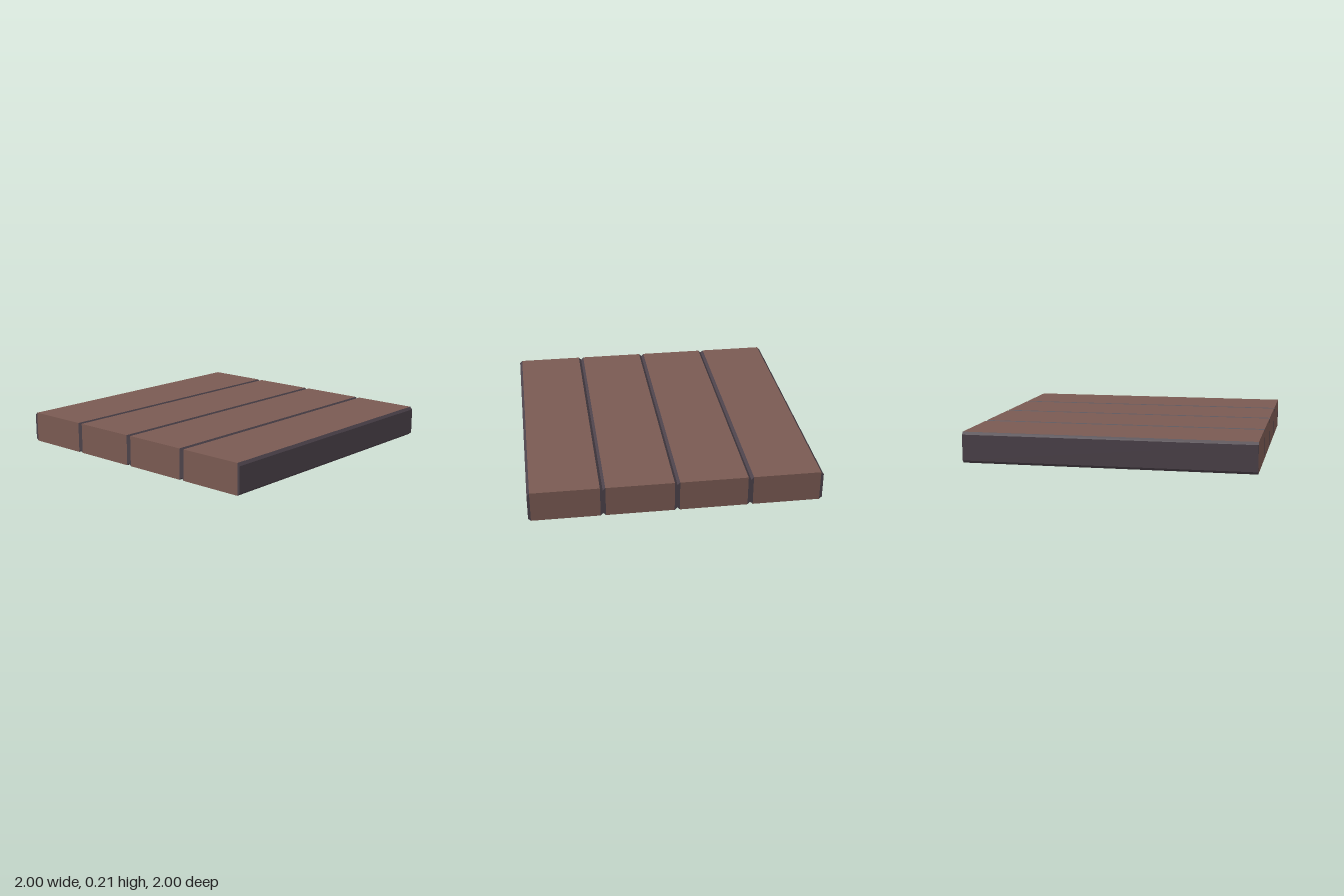
import * as THREE from 'three';

const COUNT = 4, WIDTH = 0.5, HEIGHT = 0.214, LENGTH = 2, BEVEL = 0.018;

// Box with three columns across; the outer columns are pinched into bevels.
function plankGeometry() {
  const box = new THREE.BoxGeometry(WIDTH, HEIGHT, LENGTH, 3, 1, 1);
  const pos = box.attributes.position;
  for (let i = 0; i < pos.count; i++) {
    const x = pos.getX(i), y = pos.getY(i);
    if (Math.abs(x) > WIDTH * 0.4) pos.setY(i, Math.sign(y) * (HEIGHT / 2 - BEVEL));
    else pos.setX(i, Math.sign(x) * (WIDTH / 2 - BEVEL));
  }
  const geometry = box.toNonIndexed();
  geometry.computeVertexNormals();

  // Middle columns are wood, side faces and outer columns are the dark edge.
  geometry.clearGroups();
  geometry.addGroup(0, 12, 1);
  for (let face = 0; face < 4; face++) {
    for (let col = 0; col < 3; col++) {
      geometry.addGroup(12 + face * 18 + col * 6, 6, col === 1 ? 0 : 1);
    }
  }
  return geometry;
}

export function createModel() {
  const model = new THREE.Group();
  model.name = 'plankFloor';
  const wood = new THREE.MeshStandardMaterial({ color: 0x7a5a52 });
  wood.name = 'brown wood';
  const edge = new THREE.MeshStandardMaterial({ color: 0x4c424a });
  edge.name = 'dark edge';

  // Four equal planks laid side by side
  const geometry = plankGeometry();
  for (let i = 0; i < COUNT; i++) {
    const plank = new THREE.Mesh(geometry, [wood, edge]);
    plank.name = 'plank' + (i + 1);
    plank.position.set((i - (COUNT - 1) / 2) * WIDTH, HEIGHT / 2, 0);
    model.add(plank);
  }
  return model;
}
